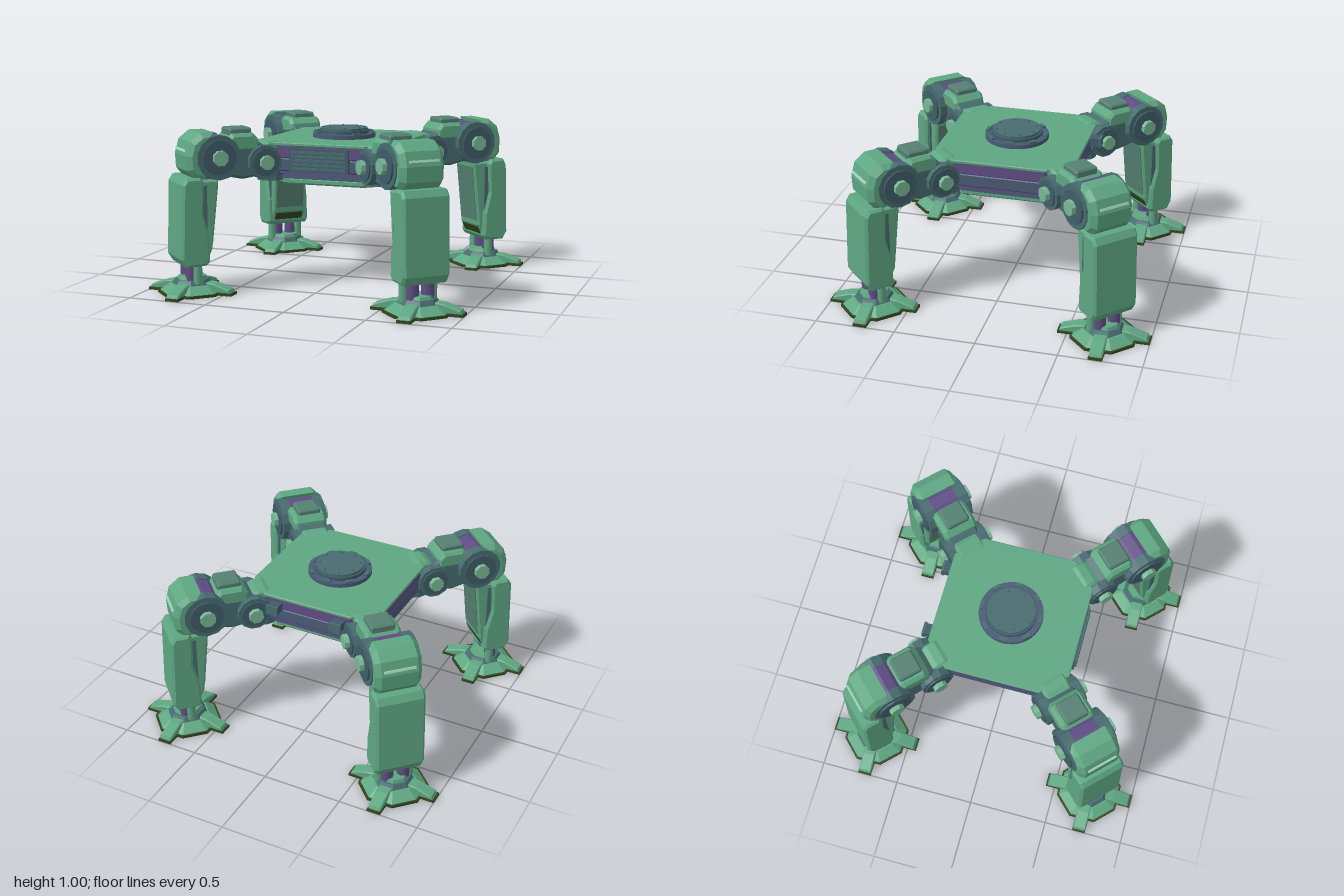
import * as THREE from 'three';

const mat = (name, color) => {
  const m = new THREE.MeshStandardMaterial({ color });
  m.name = name;
  return m;
};

export function createModel() {
  const green = mat('armour green', 0x5ea682);
  const hatchGreen = mat('hatch green', 0x557f72);
  const slate = mat('joint slate', 0x486b70);
  const darkSlate = mat('dark slate', 0x3f5c68);
  const blueSlate = mat('blue slate', 0x4a5a76);
  const purple = mat('frame purple', 0x5f4c84);
  const sole = mat('sole olive', 0x33451f);
  const pale = mat('pale cap', 0x78b896);
  const stripePale = mat('stripe pale', 0xa8dcc0);

  const model = new THREE.Group();
  model.name = 'fourLeggedPlatform';

  const add = (parent, name, geo, material, x = 0, y = 0, z = 0) => {
    const mesh = new THREE.Mesh(geo, material);
    mesh.name = name;
    mesh.position.set(x, y, z);
    parent.add(mesh);
    return mesh;
  };
  const box = (w, h, d) => new THREE.BoxGeometry(w, h, d);
  // Faceted drum with hard edges
  const drum = (rTop, rBottom, h, sides) => {
    const g = new THREE.CylinderGeometry(rTop, rBottom, h, sides).toNonIndexed();
    g.computeVertexNormals();
    return g;
  };
  const bevelled = (points, depth, b) => {
    const shape = new THREE.Shape(points.map((p) => new THREE.Vector2(p[0], p[1])));
    const g = new THREE.ExtrudeGeometry(shape, {
      depth: depth - 2 * b, bevelEnabled: b > 0, bevelSize: b, bevelThickness: b,
      bevelOffset: -b, bevelSegments: 1, steps: 1,
    });
    return g.translate(0, 0, -depth / 2 + b);
  };
  // Side profile (distance outward, height) given a width across x
  const profile = (points, width, b = 0.015) => bevelled(points, width, b).rotateY(-Math.PI / 2);
  // Square slab with cut corners, lying flat
  const slab = (h, c, height, b = 0) => {
    const k = h - c;
    return bevelled([[h, -k], [h, k], [k, h], [-k, h], [-h, k], [-h, -k], [-k, -h], [k, -h]],
      height, b).rotateX(-Math.PI / 2);
  };

  // Body, stacked from the belly up
  const body = new THREE.Group();
  body.name = 'body';
  model.add(body);
  add(body, 'bellyPlate', slab(0.358, 0.1, 0.04, 0.01), green, 0, 0.66, 0);
  add(body, 'bellyStep', slab(0.375, 0.12, 0.04), blueSlate, 0, 0.697, 0);
  add(body, 'hullUnderside', slab(0.408, 0.14, 0.014), purple, 0, 0.721, 0);
  add(body, 'lowerHull', slab(0.418, 0.15, 0.082, 0.008), blueSlate, 0, 0.768, 0);
  add(body, 'upperHull', slab(0.425, 0.15, 0.08, 0.006), purple, 0, 0.85, 0);
  add(body, 'topPlate', slab(0.442, 0.15, 0.02, 0.004), green, 0, 0.896, 0);

  // Front grille
  add(body, 'grilleFrame', box(0.38, 0.145, 0.04), darkSlate, 0, 0.803, 0.428);
  for (let i = 0; i < 5; i++) {
    add(body, 'grilleSlat', box(0.35, 0.015, 0.014), slate, 0, 0.753 + i * 0.025, 0.452);
  }
  // Rear exhausts
  for (const s of [-1, 1]) {
    add(body, 'exhaust', box(0.07, 0.05, 0.09), darkSlate, s * 0.212, 0.835, -0.45);
    add(body, 'exhaustRim', box(0.08, 0.06, 0.015), slate, s * 0.212, 0.835, -0.492);
  }

  // Round mount on the top plate
  const smoothDisc = (r, h) => new THREE.CylinderGeometry(r, r, h, 40);
  add(body, 'mountRing', smoothDisc(0.198, 0.026), blueSlate, 0, 0.918, 0);
  add(body, 'mountStep', smoothDisc(0.16, 0.04), darkSlate, 0, 0.932, 0);
  add(body, 'mountCap', smoothDisc(0.147, 0.018), slate, 0, 0.957, 0);
  for (let i = 0; i < 8; i++) {
    const a = i * Math.PI / 4;
    const lug = add(body, 'mountLug', box(0.05, 0.022, 0.022), slate,
      Math.sin(a) * 0.183, 0.932, Math.cos(a) * 0.183);
    lug.rotation.y = a;
    add(body, 'mountBolt', new THREE.CylinderGeometry(0.006, 0.006, 0.006, 6), darkSlate,
      Math.sin(a + 0.4) * 0.125, 0.968, Math.cos(a + 0.4) * 0.125);
  }

  // Stacked discs along x: [radius, half length, sides, material]
  const joint = (leg, name, y, z, layers) => {
    const g = new THREE.Group();
    g.name = name;
    g.position.set(0, y, z);
    leg.add(g);
    layers.forEach(([r, half, sides, m], i) => {
      const geo = drum(r, r, half * 2, sides).rotateZ(Math.PI / 2);
      add(g, name + 'Layer' + (i + 1), geo, m).rotation.x = Math.PI / sides;
    });
  };

  // One leg, reaching outward along +z
  const buildLeg = () => {
    const leg = new THREE.Group();
    leg.name = 'leg';

    // Shoulder mount and joint
    add(leg, 'shoulderPivot', drum(0.085, 0.085, 0.2, 12), slate, 0, 0.765, 0.5);
    add(leg, 'pivotRing', drum(0.1, 0.1, 0.035, 12), darkSlate, 0, 0.72, 0.5);
    add(leg, 'shoulderGuard', profile(
      [[0.46, 0.86], [0.46, 0.9], [0.5, 0.915], [0.55, 0.91], [0.61, 0.88], [0.61, 0.83]],
      0.17), green);
    joint(leg, 'shoulderJoint', 0.79, 0.585, [
      [0.095, 0.09, 12, darkSlate], [0.106, 0.135, 12, slate],
      [0.085, 0.145, 12, darkSlate], [0.045, 0.175, 8, pale]]);

    // Thigh with top hatch
    add(leg, 'thigh', profile(
      [[0.56, 0.71], [0.56, 0.88], [0.64, 0.93], [0.9, 0.94], [0.9, 0.73], [0.72, 0.69]],
      0.2), slate);
    add(leg, 'thighArmour', profile(
      [[0.61, 0.86], [0.615, 0.93], [0.65, 0.968], [0.785, 0.968], [0.82, 0.93], [0.82, 0.86]],
      0.22, 0.02), green);
    add(leg, 'hatch', profile(
      [[0.65, 0.95], [0.65, 0.99], [0.66, 1], [0.785, 1], [0.795, 0.99], [0.795, 0.95]],
      0.15, 0.01), hatchGreen);

    // Knee joint and armour
    joint(leg, 'kneeJoint', 0.835, 0.885, [
      [0.132, 0.1, 14, purple], [0.105, 0.16, 14, darkSlate], [0.048, 0.188, 8, pale]]);
    for (const s of [-1, 1]) {
      const disc = add(leg, 'kneeDisc', drum(0.137, 0.137, 0.066, 14).rotateZ(Math.PI / 2), slate,
        s * 0.115, 0.835, 0.885);
      disc.rotation.x = Math.PI / 14;
    }
    add(leg, 'kneeArmour', profile(
      [[0.95, 0.74], [0.94, 0.86], [0.905, 0.985], [0.99, 0.985], [1.055, 0.935], [1.08, 0.85],
        [1.075, 0.76], [1.03, 0.705], [0.96, 0.705]], 0.28, 0.03), green);
    const stripe = add(leg, 'kneeStripe', box(0.19, 0.014, 0.009), stripePale, 0, 0.88, 1.077);
    stripe.rotation.x = -0.29;
    add(leg, 'kneeFrame', box(0.15, 0.09, 0.11), purple, 0, 0.72, 0.95);

    // Shin
    add(leg, 'shinCore', profile(
      [[0.88, 0.7], [1.03, 0.7], [1.06, 0.21], [0.96, 0.21], [0.925, 0.28]], 0.24, 0.012), green);
    const panel = add(leg, 'shinPanel', box(0.2, 0.36, 0.008), hatchGreen, 0, 0.49, 0.902);
    panel.rotation.x = -0.107;
    const lowerPanel = add(leg, 'shinLowerPanel', box(0.2, 0.055, 0.008), sole, 0, 0.245, 0.942);
    lowerPanel.rotation.x = -0.46;
    add(leg, 'shinFrame', box(0.26, 0.4, 0.05), slate, 0, 0.47, 0.985);
    add(leg, 'shinArmour', profile(
      [[0.98, 0.69], [1, 0.72], [1.09, 0.72], [1.115, 0.68], [1.13, 0.23], [1.1, 0.18],
        [0.97, 0.185], [0.95, 0.21], [0.955, 0.36], [0.99, 0.5]], 0.3, 0.015), green);

    // Ankle rods, with a thinner strut on each side
    for (const s of [-1, 1]) {
      add(leg, 'ankleRod', new THREE.CylinderGeometry(0.038, 0.038, 0.16, 16), purple,
        s * 0.05, 0.15, 1.04);
      add(leg, 'ankleStrut', new THREE.CylinderGeometry(0.027, 0.027, 0.16, 12), green,
        s * 0.095, 0.15, 1.015);
    }

    // Foot with four toes
    const foot = new THREE.Group();
    foot.name = 'foot';
    foot.position.z = 1.02;
    leg.add(foot);
    add(foot, 'footSole', drum(0.21, 0.21, 0.016, 8), sole, 0, 0.008, 0);
    add(foot, 'footPlate', drum(0.135, 0.2, 0.045, 8), green, 0, 0.0365, 0);
    add(foot, 'ankleCollar', drum(0.105, 0.125, 0.03, 8), slate, 0, 0.072, 0);
    add(foot, 'ankleSocket', drum(0.085, 0.095, 0.025, 8), green, 0, 0.094, 0);
    foot.children.forEach((m) => { m.rotation.y = Math.PI / 8; });
    for (let i = 0; i < 4; i++) {
      const toe = new THREE.Group();
      toe.name = 'toe';
      toe.rotation.y = Math.PI / 4 + i * Math.PI / 2;
      foot.add(toe);
      add(toe, 'toePlate', profile(
        [[0.11, 0.014], [0.11, 0.072], [0.16, 0.068], [0.26, 0.036], [0.27, 0.014]],
        0.08, 0.006), green);
      add(toe, 'toeSole', box(0.084, 0.016, 0.13), sole, 0, 0.008, 0.214);
    }
    return leg;
  };

  const first = buildLeg();
  ['frontLeftLeg', 'backLeftLeg', 'backRightLeg', 'frontRightLeg'].forEach((name, i) => {
    const leg = i ? first.clone() : first;
    leg.name = name;
    leg.rotation.y = Math.PI / 4 + i * Math.PI / 2;
    model.add(leg);
  });
  return model;
}
